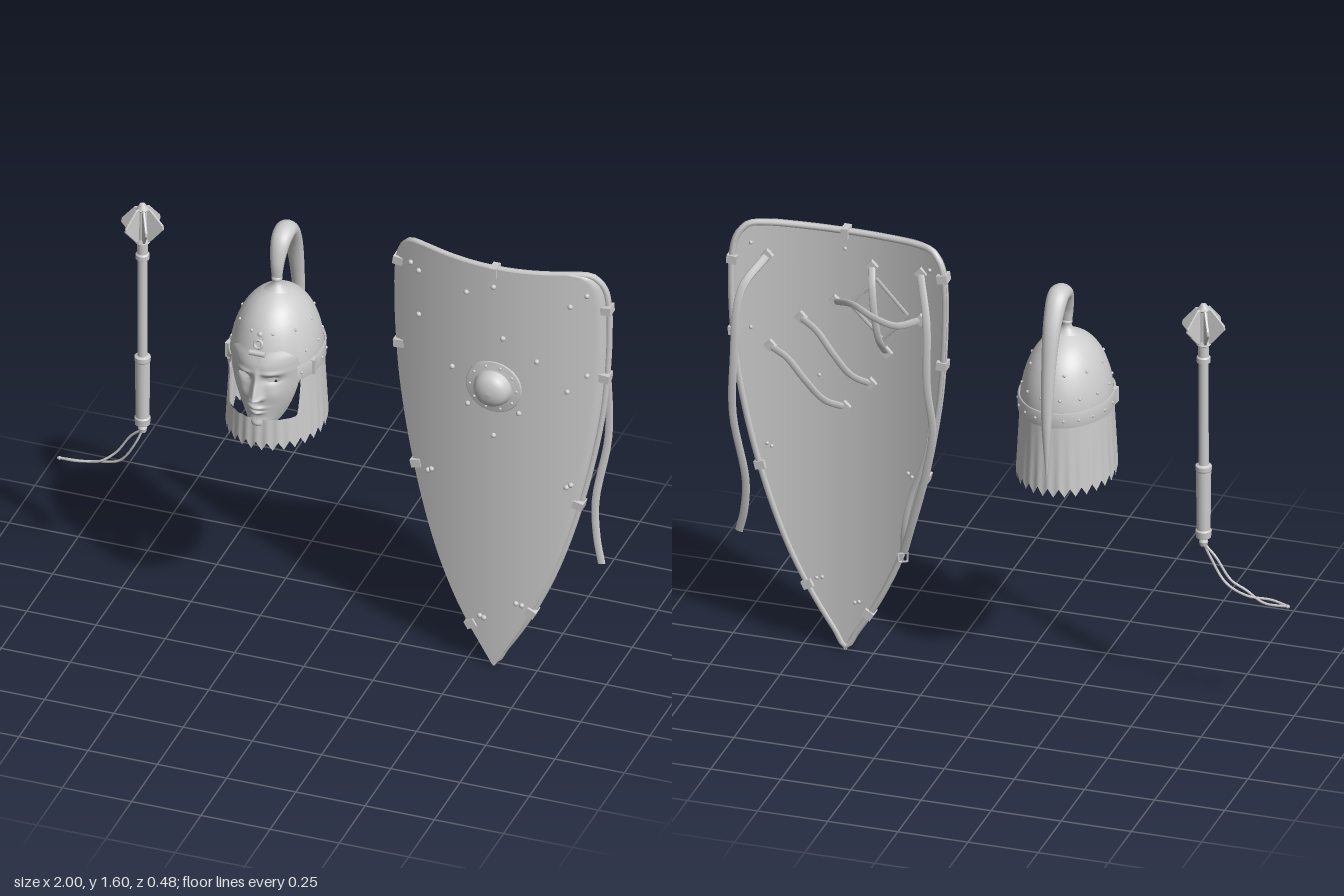
import * as THREE from 'three';
import { mergeVertices } from 'three/addons/utils/BufferGeometryUtils.js';

const grey = new THREE.MeshStandardMaterial({ color: 0xcccccc, side: THREE.DoubleSide });
const V = (x, y, z) => new THREE.Vector3(x, y, z);
const rivetGeo = new THREE.SphereGeometry(0.0095, 10, 8);

function add(parent, name, geo, x = 0, y = 0, z = 0) {
  const m = new THREE.Mesh(geo, grey);
  m.name = name;
  m.position.set(x, y, z);
  parent.add(m);
  return m;
}

// Smooth curve through [t, value] pairs
function profile(pairs) {
  const c = new THREE.CubicInterpolant(pairs.map(p => p[0]), pairs.map(p => p[1]), 1, new Float32Array(1));
  return t => c.evaluate(t)[0];
}

// Surface from a rule (u, v) -> point; quads wholly inside a hole are left out
function sheet(fn, nu, nv) {
  const pts = [], idx = [];
  for (let j = 0; j <= nv; j++) for (let i = 0; i <= nu; i++) pts.push(fn(i / nu, j / nv));
  for (let j = 0; j < nv; j++) for (let i = 0; i < nu; i++) {
    const a = j * (nu + 1) + i, b = a + 1, c = a + nu + 1, d = c + 1;
    if ([a, b, c, d].every(k => pts[k].hole)) continue;
    idx.push(a, b, d, a, d, c);
  }
  let g = new THREE.BufferGeometry().setFromPoints(pts);
  g.setIndex(idx);
  g = mergeVertices(g, 1e-5);
  g.computeVertexNormals();
  return g;
}

// Tapering tube with an oval section; ref sets the direction of its second axis
function taper(points, radii, ratio, ref, n = 40, sides = 12) {
  const curve = new THREE.CatmullRomCurve3(points.map(p => V(...p)));
  const rad = profile(radii.map((r, i) => [i / (radii.length - 1), r]));
  return sheet((u, v) => {
    const t = curve.getTangent(v), a = u * Math.PI * 2, r = rad(v);
    const side = t.clone().cross(ref).normalize(), nor = side.clone().cross(t);
    return curve.getPoint(v).addScaledVector(side, Math.cos(a) * r).addScaledVector(nor, Math.sin(a) * r * ratio);
  }, sides, n);
}
const strap = (pts, w = 0.013) => taper(pts, [w, w], 0.3, V(0, 0, 1), 36, 10);

function createMace() {
  const g = new THREE.Group();
  g.name = 'mace';
  g.position.set(-0.69, 0, -0.04);
  const body = [[0, 0.612], [0.013, 0.618], [0.016, 0.632], [0.01, 0.645], [0.026, 0.65], [0.028, 0.675], [0.024, 0.68],
    [0.026, 0.9], [0.028, 0.905], [0.028, 0.92], [0.018, 0.925], [0.017, 1.31], [0.024, 1.313], [0.024, 1.33],
    [0.019, 1.335], [0.019, 1.375], [0.026, 1.38], [0.02, 1.395], [0.018, 1.505], [0.022, 1.51], [0.01, 1.53], [0, 1.535]];
  // doubled rings keep the turned edges crisp
  const prof = body.flatMap(([r, y]) => [new THREE.Vector2(r, y), new THREE.Vector2(Math.max(r - 0.0004, 0), y + 0.0004)]);
  add(g, 'shaft', new THREE.LatheGeometry(prof, 20));
  const s = new THREE.Shape([[0.008, 1.385], [0.03, 1.39], [0.075, 1.445], [0.073, 1.458], [0.028, 1.512], [0.008, 1.515]]
    .map(p => new THREE.Vector2(...p)));
  const flange = new THREE.ExtrudeGeometry(s, { depth: 0.005, bevelSize: 0.002, bevelThickness: 0.002, bevelSegments: 1 });
  flange.translate(0, 0, -0.0025);
  for (let i = 0; i < 6; i++) add(g, 'flange', flange).rotation.y = i * Math.PI / 3;
  // wrist cord, two strands meeting at a knot
  const cords = [[[0, 0.625, 0], [-0.02, 0.575, 0.008], [-0.08, 0.485, 0.002], [-0.16, 0.455, -0.01], [-0.24, 0.447, 0.002], [-0.31, 0.437, -0.01]],
    [[0, 0.625, 0], [-0.045, 0.585, -0.008], [-0.1, 0.505, -0.008], [-0.15, 0.468, 0.005], [-0.22, 0.44, -0.015], [-0.31, 0.437, -0.01]]];
  cords.forEach(c => add(g, 'cord', new THREE.TubeGeometry(new THREE.CatmullRomCurve3(c.map(p => V(...p))), 40, 0.0045, 6)));
  add(g, 'cordKnot', new THREE.SphereGeometry(0.007, 10, 8), -0.303, 0.437, -0.01);
  return g;
}

function createHelmet() {
  const g = new THREE.Group();
  g.name = 'helmet';
  g.position.x = -0.19;
  const TAU = Math.PI * 2;
  // egg-shaped plan, angle 0 at the front
  const ring = (a, r, y) => V(0.156 * r * Math.sin(a), y, (Math.cos(a) > 0 ? 0.188 : 0.193) * r * Math.cos(a));
  const facing = a => THREE.MathUtils.smoothstep(Math.cos(a), 0.55, 0.68);
  const domeR = profile([[1.05, 1], [1.13, 0.98], [1.2, 0.88], [1.26, 0.71], [1.3, 0.5], [1.325, 0.27], [1.34, 0.08]]);

  add(g, 'dome', sheet((u, v) => {
    const a = u * TAU, y0 = 1.06 + 0.08 * facing(a);
    const y = y0 + (1.34 - y0) * Math.sin(v * Math.PI / 2);
    return ring(a, domeR(y), y);
  }, 72, 28));
  add(g, 'neckGuard', sheet((u, v) => {
    const a = u * TAU, top = 1.08 - 0.16 * facing(a);
    const tooth = Math.abs(((u * 28) % 1) - 0.5) * 2;
    const y = top + (0.8 + 0.032 * tooth - top) * v, t = (1.08 - y) / 0.28;
    return ring(a, 1 + 0.085 * t + 0.012 * t * Math.cos(a * 28), y);
  }, 224, 10));
  // band runs round the back between the edges of the face
  const section = [[1, 1.06], [1.045, 1.06], [1.045, 1.112], [1, 1.112]];
  add(g, 'band', sheet((u, v) => ring(0.85 + u * (TAU - 1.7), ...section[Math.round(v * 3)]), 60, 3));
  for (let i = 0; i < 15; i++) {
    const p = ring(0.95 + i * (TAU - 1.9) / 14, 1.045, 1.086);
    add(g, 'bandRivet', rivetGeo, p.x, p.y, p.z).scale.setScalar(0.55);
  }
  [[1.155, 14], [1.235, 10]].forEach(([y, n]) => {
    for (let i = 0; i < n; i++) {
      const p = ring((i + 0.5) * TAU / n, domeR(y), y);
      add(g, 'domeRivet', rivetGeo, p.x, p.y, p.z).scale.setScalar(0.6);
    }
  });

  // face mask
  const w = profile([[0.87, 0.022], [0.885, 0.047], [0.91, 0.068], [0.95, 0.089], [1, 0.108], [1.06, 0.122], [1.12, 0.124], [1.155, 0.112], [1.182, 0.075]]);
  const mid = profile([[0.87, 0.168], [0.89, 0.19], [0.93, 0.196], [1, 0.2], [1.07, 0.196], [1.13, 0.2], [1.182, 0.182]]);
  const edge = profile([[0.87, 0.155], [0.91, 0.125], [0.97, 0.115], [1.14, 0.118], [1.182, 0.15]]);
  const bump = (dx, dy, sx, sy) => Math.exp(-((dx / sx) ** 2) - (dy / sy) ** 2);
  add(g, 'faceMask', sheet((u, v) => {
    let y = 0.87 + 0.312 * v, x = (u * 2 - 1) * w(y), hole = false;
    for (const ex of [-0.054, 0.054]) {
      const dx = (x - ex) / 0.024, dy = (y - 1.075) / 0.0085, d = Math.hypot(dx, dy);
      if (d < 1 && d > 0) { hole = true; x = ex + 0.024 * dx / d; y = 1.075 + 0.0085 * dy / d; }
    }
    const k = Math.min(1, Math.abs(x) / w(y)), ax = Math.abs(x);
    let z = edge(y) + (mid(y) - edge(y)) * (1 - k ** 2.3);
    const n = THREE.MathUtils.clamp((1.1 - y) / 0.088, 0, 1), under = THREE.MathUtils.smoothstep(y, 0.992, 1.012);
    z += (0.008 + 0.034 * n) * under * THREE.MathUtils.smoothstep(1.13 - y, 0, 0.04) * Math.exp(-((x / (0.011 + 0.007 * n)) ** 2));
    z += 0.012 * bump(ax - 0.016, y - 1.008, 0.008, 0.009);
    z += 0.013 * bump(x, y - 0.968, 0.026, 0.007) + 0.013 * bump(x, y - 0.949, 0.021, 0.007);
    z += 0.009 * bump(x, y - 0.9, 0.028, 0.017) + 0.006 * bump(ax - 0.058, y - 1.02, 0.025, 0.03);
    z += 0.007 * bump(ax - 0.05, y - 1.103, 0.035, 0.009) - 0.013 * bump(ax - 0.05, y - 1.077, 0.028, 0.015);
    const p = V(x, y, z);
    p.hole = hole;
    return p;
  }, 90, 110));

  // hinge on the brow and side fastenings
  const hinge = new THREE.Group();
  hinge.name = 'browHinge';
  hinge.position.set(0, 1.19, 0.178);
  hinge.rotation.x = -0.32;
  g.add(hinge);
  add(hinge, 'hingePlate', new THREE.BoxGeometry(0.022, 0.09, 0.014));
  add(hinge, 'hingePin', new THREE.CylinderGeometry(0.01, 0.01, 0.056, 12).rotateZ(Math.PI / 2), 0, -0.015, 0.007);
  add(hinge, 'hingeRing', new THREE.TorusGeometry(0.014, 0.005, 8, 18), 0, 0.018, 0.01);
  add(hinge, 'hingeKnob', new THREE.SphereGeometry(0.009, 12, 8), 0, 0.052, 0.002);
  for (const s of [-1, 1]) add(g, 'sideClasp', new THREE.BoxGeometry(0.016, 0.055, 0.03), s * 0.153, 1.086, 0.055).rotation.y = s * 0.1;

  // flared socket and falling plume
  add(g, 'plumeSocket', new THREE.LatheGeometry([[0.052, 1.316], [0.036, 1.332], [0.02, 1.345], [0.015, 1.36], [0.019, 1.366], [0.019, 1.374], [0.012, 1.38]]
    .map(p => new THREE.Vector2(...p)), 24));
  add(g, 'plume', taper([[0, 1.365, 0], [0, 1.43, -0.005], [0, 1.497, -0.04], [0, 1.51, -0.095], [0, 1.44, -0.155], [0, 1.28, -0.2], [0, 1.08, -0.222], [0, 0.89, -0.222]],
    [0.014, 0.02, 0.028, 0.03, 0.026, 0.02, 0.014, 0.002], 1.25, V(1, 0, 0), 60, 18));
  return g;
}

function createShield() {
  const g = new THREE.Group();
  g.name = 'shield';
  g.position.x = 0.6;
  const width = profile([[0, 0.004], [0.07, 0.046], [0.14, 0.09], [0.23, 0.14], [0.4, 0.215], [0.68, 0.3], [1, 0.364], [1.17, 0.382], [1.35, 0.39],
    [1.48, 0.387], [1.54, 0.375], [1.575, 0.352], [1.592, 0.325], [1.6, 0.28]]);
  const front = x => 0.02 - 0.085 * (x / 0.39) ** 2;
  const back = x => front(x) - 0.022;
  const dip = (x, y) => y - 0.01 * Math.max(0, y - 1.4) / 0.2 * (1 - Math.min(1, (x / 0.25) ** 2));

  // curved board, section looping over the front and back
  add(g, 'board', sheet((u, v) => {
    const y = 1.6 * Math.sin(v * Math.PI / 2), f = u < 0.5;
    const x = (f ? u * 4 - 1 : 3 - u * 4) * width(y);
    return V(x, dip(x, y), (f ? front : back)(x));
  }, 64, 70));
  // rolled rim
  const half = [];
  for (let i = 0; i <= 36; i++) {
    const y = 1.6 * Math.sin(i / 36 * Math.PI / 2), x = width(y) - 0.009;
    half.push([Math.max(x, 0), Math.min(Math.max(y, 0.012), 1.593)]);
  }
  for (let i = 1; i < 8; i++) half.push([0.271 * (1 - i / 8), 1.593]);
  const loop = [...half, [0, 1.593], ...half.slice(1).reverse().map(([x, y]) => [-x, y])];
  const rim = new THREE.CatmullRomCurve3(loop.map(([x, y]) => V(x, dip(x, y), back(x) + 0.006)), true);
  add(g, 'rim', new THREE.TubeGeometry(rim, 200, 0.012, 8, true));

  // clips gripping the rim: side, height
  [[-1, 1.17], [1, 1.19], [1, 1.46], [-1, 1.5], [-1, 0.72], [1, 0.68], [-1, 0.15], [1, 0.235]].forEach(([s, y]) => {
    const x = s * (width(y) - 0.012), slope = (width(y + 0.02) - width(y - 0.02)) / 0.04;
    const c = add(g, 'rimClip', new THREE.BoxGeometry(0.036, 0.03, 0.044), x, y, front(x) - 0.012);
    c.rotation.z = -s * Math.atan(slope);
  });
  add(g, 'rimClip', new THREE.BoxGeometry(0.026, 0.04, 0.046), 0, 1.578, 0.008);

  // boss
  add(g, 'boss', new THREE.LatheGeometry([[0.1, -0.012], [0.1, 0.004], [0.096, 0.007], [0.07, 0.01], [0.066, 0.014], [0.064, 0.026], [0.056, 0.042], [0.042, 0.053], [0.022, 0.06], [0, 0.062]]
    .map(p => new THREE.Vector2(...p)), 40).rotateX(Math.PI / 2), 0, 1.12, 0.017);
  for (let i = 0; i < 10; i++) {
    const a = i * Math.PI / 5;
    add(g, 'bossRivet', rivetGeo, 0.084 * Math.cos(a), 1.12 + 0.084 * Math.sin(a), 0.026).scale.setScalar(0.55);
  }

  // rivets through the board, with a strap tab behind the anchoring ones
  const anchors = { a: [-0.1, 1.475], b: [-0.287, 1.32], c: [0.034, 1.32], d: [-0.154, 1.16], e: [0.253, 1.134], f: [0, 0.925],
    g: [0.151, 1.246], h: [-0.095, 1.03], i: [0.263, 1.475], j: [-0.287, 1.495] };
  const loose = [[0, 1.52], [0.317, 1.52], [-0.32, 1.515], [0.317, 1.2], [0.09, 1.03], [-0.25, 0.71], [-0.235, 0.72], [0.25, 0.75], [0.265, 0.76], [0.08, 0.265], [0.1, 0.26], [-0.05, 0.19], [-0.035, 0.185]];
  for (const [x, y] of [...Object.values(anchors), ...loose]) {
    add(g, 'rivet', rivetGeo, x, y, front(x) + 0.002);
    add(g, 'rivetBack', rivetGeo, x, y, back(x) - 0.002).scale.setScalar(0.7);
  }
  for (const [x, y] of Object.values(anchors)) add(g, 'strapTab', new THREE.BoxGeometry(0.032, 0.032, 0.016), x, y, back(x) - 0.008).rotation.z = 0.75;

  // arm straps and crossed grip, bowed out from the board
  for (const [p, q, bow] of [['e', 'f', 0.035], ['g', 'h', 0.035], ['a', 'd', 0.05], ['c', 'b', 0.065]]) {
    const A = anchors[p], B = anchors[q];
    const pts = [0, 0.25, 0.5, 0.75, 1].map(t => {
      const x = A[0] + (B[0] - A[0]) * t, y = A[1] + (B[1] - A[1]) * t, s = Math.sin(t * Math.PI);
      return [x, y + 0.022 * Math.sin(t * Math.PI * 2), back(x) - 0.012 - bow * s];
    });
    add(g, 'armStrap', strap(pts));
  }
  const pad = [[-0.115, 1.43], [-0.235, 1.32], [-0.14, 1.205], [-0.02, 1.315]];
  pad.forEach(([x, y], i) => {
    const [x2, y2] = pad[(i + 1) % 4], mx = (x + x2) / 2;
    add(g, 'gripPadEdge', strap([[x, y, back(x) - 0.006], [mx, (y + y2) / 2, back(mx) - 0.008], [x2, y2, back(x2) - 0.006]], 0.007));
  });

  // long shoulder straps, one loose and one ending in a buckle
  add(g, 'looseStrap', strap([[0.263, 1.475, -0.055], [0.33, 1.37, -0.125], [0.35, 1.1, -0.15], [0.355, 0.9, -0.14], [0.318, 0.65, -0.115], [0.33, 0.52, -0.095], [0.355, 0.43, -0.075]], 0.014));
  add(g, 'buckleStrap', strap([[-0.287, 1.495, -0.06], [-0.33, 1.35, -0.125], [-0.34, 1.12, -0.15], [-0.358, 0.95, -0.145], [-0.33, 0.78, -0.13], [-0.28, 0.6, -0.105], [-0.233, 0.44, -0.075]], 0.014));
  add(g, 'buckleStrap', strap([[-0.34, 0.98, -0.095], [-0.33, 0.85, -0.115], [-0.27, 0.68, -0.1], [-0.24, 0.55, -0.09], [-0.228, 0.44, -0.07]], 0.01));
  add(g, 'buckle', new THREE.TorusGeometry(0.022, 0.005, 6, 4).rotateZ(Math.PI / 4), -0.23, 0.42, -0.075).rotation.y = 0.5;
  add(g, 'bucklePin', new THREE.CylinderGeometry(0.003, 0.003, 0.036, 6), -0.23, 0.42, -0.077);
  return g;
}

export function createModel() {
  const model = new THREE.Group();
  model.name = 'armsSet';
  model.add(createMace(), createHelmet(), createShield());
  return model;
}
